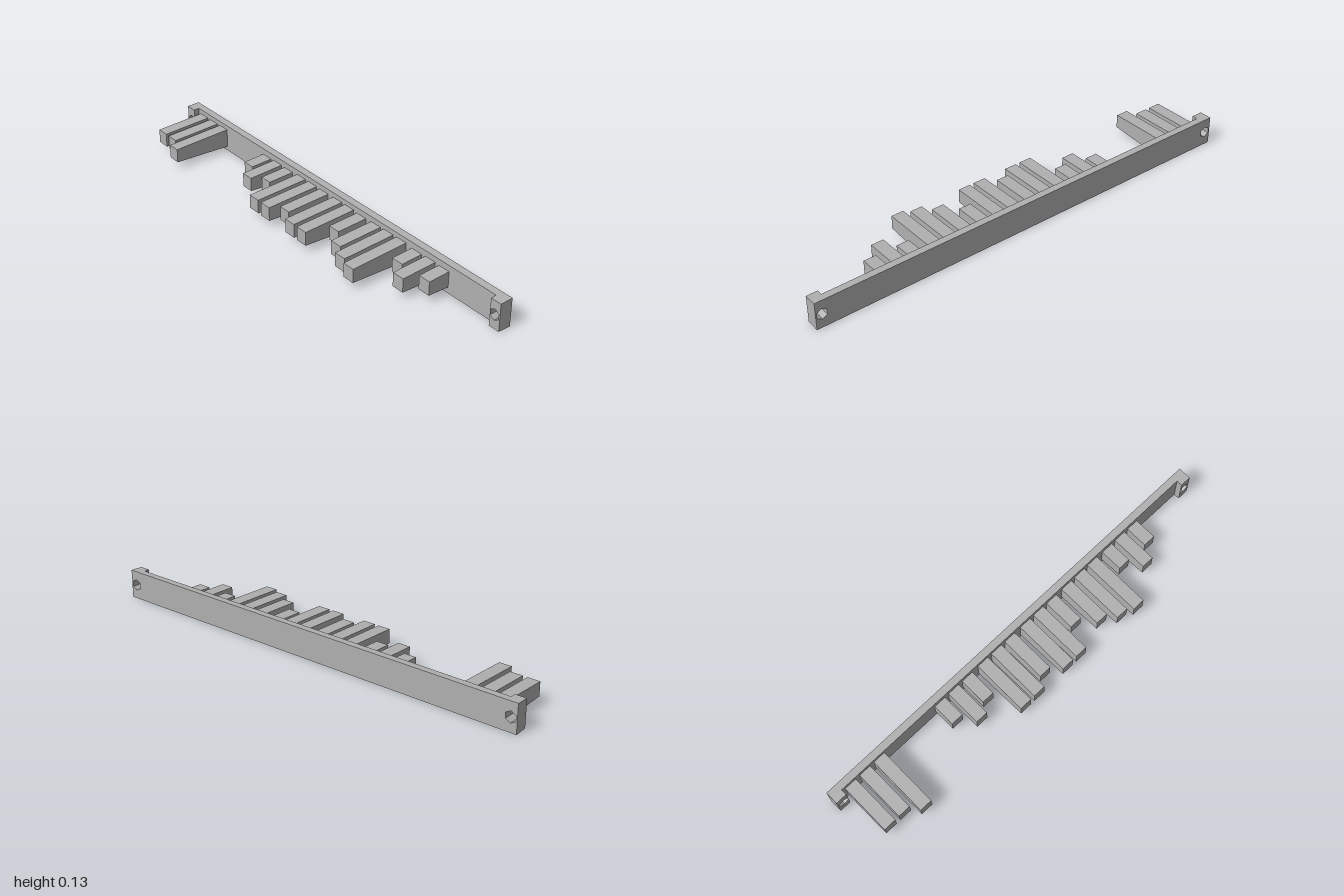
import * as THREE from 'three';

const MID = 0.0635;   // height of the centre line
const DRAFT = 0.042;  // upper and lower faces slope towards the front
const BACK = -0.15, FACE = -0.118, BOSS = -0.092;

// Slab with hexagonal through holes; its upper and lower faces are drafted.
function slab(x0, x1, z0, z1, holeXs) {
  const h = MID;
  const shape = new THREE.Shape([
    new THREE.Vector2(x0, -h), new THREE.Vector2(x1, -h),
    new THREE.Vector2(x1, h), new THREE.Vector2(x0, h),
  ]);
  for (const cx of holeXs) {
    const pts = [];
    for (let i = 0; i < 6; i++) {
      const a = Math.PI / 2 - i * Math.PI / 3;
      pts.push(new THREE.Vector2(cx + 0.025 * Math.cos(a), 0.025 * Math.sin(a)));
    }
    shape.holes.push(new THREE.Path(pts));
  }
  const g = new THREE.ExtrudeGeometry(shape, { depth: z1 - z0, bevelEnabled: false });
  g.translate(0, 0, z0);
  const p = g.attributes.position;
  for (let i = 0; i < p.count; i++) {
    const y = p.getY(i);
    if (Math.abs(y) > 0.05) p.setY(i, Math.sign(y) * (h - DRAFT * (p.getZ(i) - BACK)));
  }
  g.translate(0, MID, 0);
  g.computeVertexNormals();
  return g;
}

// Peg with a fixed tip height, growing taller towards its root.
function peg(x, tip) {
  const g = new THREE.BoxGeometry(0.056, 2, tip - FACE);
  g.translate(0, 0, (tip + FACE) / 2);
  const p = g.attributes.position;
  for (let i = 0; i < p.count; i++) {
    p.setY(i, p.getY(i) * (0.031 + DRAFT * (tip - p.getZ(i))));
  }
  g.translate(x, MID, 0);
  const flat = g.toNonIndexed();
  flat.computeVertexNormals();
  return flat;
}

export function createModel() {
  const model = new THREE.Group();
  model.name = 'peggedBar';
  const grey = new THREE.MeshStandardMaterial({ color: 0xb0b0b0 });
  grey.name = 'grey';
  const add = (geometry, name) => {
    const mesh = new THREE.Mesh(geometry, grey);
    mesh.name = name;
    model.add(mesh);
  };

  // Back plate and the raised mounting ends
  add(slab(-1, 1, BACK, FACE, [-0.972, 0.972]), 'backPlate');
  add(slab(0.95, 1, FACE, BOSS, [0.972]), 'leftMountingEnd');
  add(slab(-1, -0.95, FACE, BOSS, [-0.972]), 'rightMountingEnd');

  // Groups of three pegs: group centre, then length steps
  const groups = [
    [-0.832, [6, 6, 8]],
    [-0.354, [0, 3, 1]],
    [-0.115, [7, 7, 5]],
    [0.124, [7, 7, 2]],
    [0.363, [5, 7, 8]],
    [0.603, [0, 3, 0]],
  ];
  groups.forEach(([cx, steps], gi) => steps.forEach((s, i) => {
    add(peg(cx + (i - 1) * 0.0755, -0.018 + s * 0.021), `peg${gi * 3 + i + 1}`);
  }));
  return model;
}
